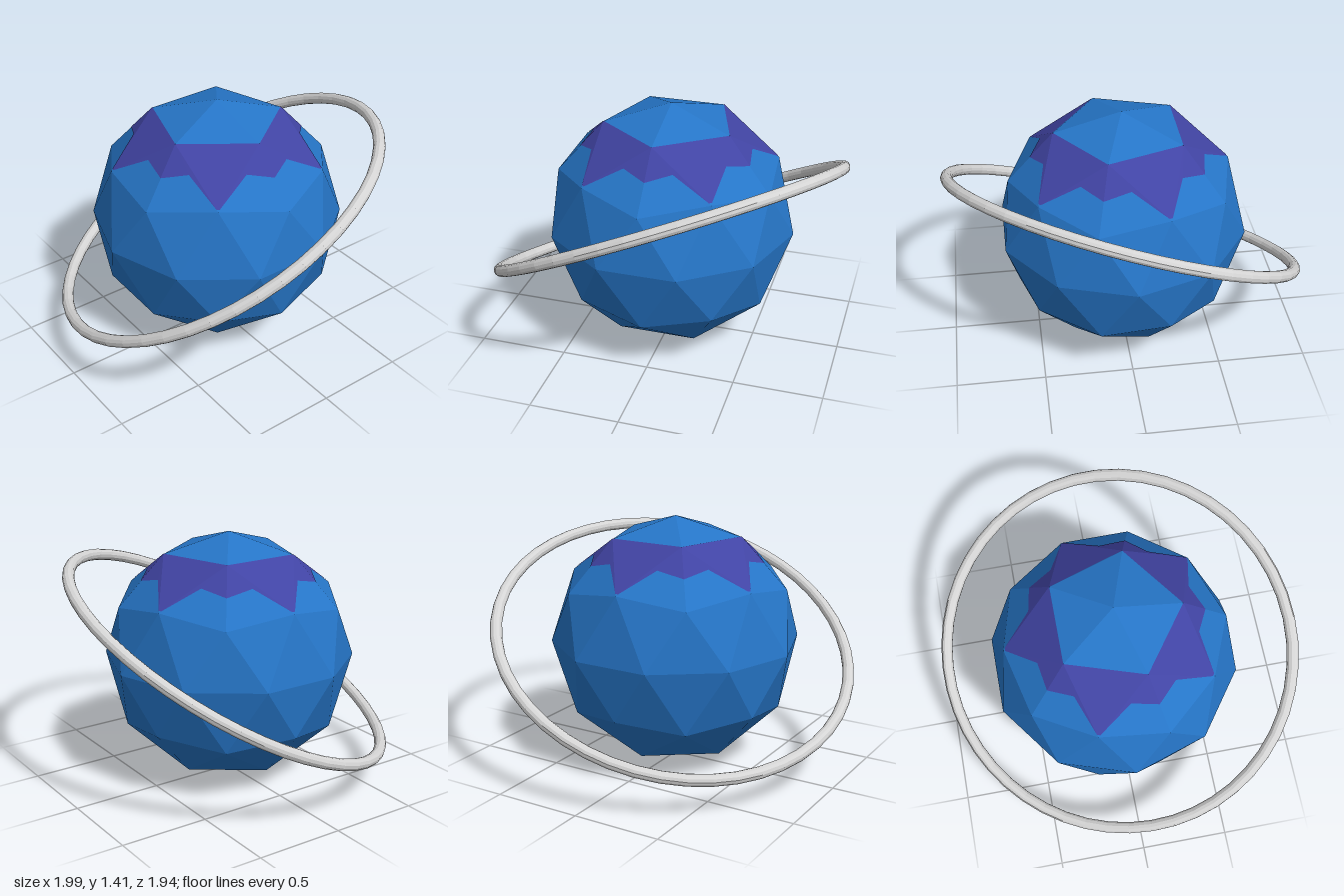
import * as THREE from 'three';

const R = 0.705; // planet radius

// Point on the planet from radius about the axis, height and azimuth in degrees
const polar = (r, y, deg) => {
  const a = THREE.MathUtils.degToRad(deg);
  return new THREE.Vector3(r * Math.cos(a), y, r * Math.sin(a));
};

// Flat-faced geometry from triangles, each turned to face outwards
function facets(triangles) {
  const points = [];
  for (const [a, b, c] of triangles) {
    const normal = b.clone().sub(a).cross(c.clone().sub(a));
    points.push(...(normal.dot(a) > 0 ? [a, b, c] : [a, c, b]));
  }
  const geometry = new THREE.BufferGeometry().setFromPoints(points);
  geometry.computeVertexNormals();
  return geometry;
}

// Star-edged band lying on the upper facets, five-fold and mirrored in each sector
function bandGeometry() {
  const triangles = [];
  for (let i = 0; i < 5; i++) {
    const az = i * 72;
    const top = polar(0.371, 0.6, az);
    const ridge = top.clone().lerp(polar(0.631, 0.315, az), 0.5);
    const tips = [-1, 1].map((side) => {
      const tip = top.clone().lerp(polar(0.6, 0.371, az + 36 * side), 0.96);
      const notch = polar(0.455, 0.491, az + 17 * side);
      triangles.push([top, ridge, notch], [top, notch, tip]);
      return tip;
    });
    const nextTop = polar(0.371, 0.6, az + 72);
    const nextTip = nextTop.clone().lerp(polar(0.6, 0.371, az + 36), 0.96);
    triangles.push([top, nextTop, nextTip], [top, nextTip, tips[1]]);
  }
  return facets(triangles).scale(1.003, 1.003, 1.003);
}

export function createModel() {
  const blue = new THREE.MeshStandardMaterial({ color: 0x2676c8, flatShading: true });
  blue.name = 'planet blue';
  const purple = new THREE.MeshStandardMaterial({ color: 0x4144a4, flatShading: true });
  purple.name = 'band purple';
  const grey = new THREE.MeshStandardMaterial({ color: 0xd4d4d4, flatShading: true });
  grey.name = 'ring grey';

  const model = new THREE.Group();
  model.name = 'ringedPlanet';
  const add = (name, geometry, material) => {
    const mesh = new THREE.Mesh(geometry, material);
    mesh.name = name;
    mesh.position.y = R;
    model.add(mesh);
    return mesh;
  };

  // Faceted ball, turned so that a corner is the pole
  const ball = new THREE.IcosahedronGeometry(R, 1);
  ball.rotateZ(-Math.atan(2 / (1 + Math.sqrt(5))));
  ball.computeVertexNormals();
  add('planet', ball, blue);

  add('polarBand', bandGeometry(), purple);

  // Ring tilted about 30 degrees
  const ring = add('ring', new THREE.TorusGeometry(1.017, 0.033, 12, 48), grey);
  ring.quaternion.setFromUnitVectors(
    new THREE.Vector3(0, 0, 1),
    new THREE.Vector3(-0.311, 0.867, 0.39).normalize()
  );
  return model;
}
